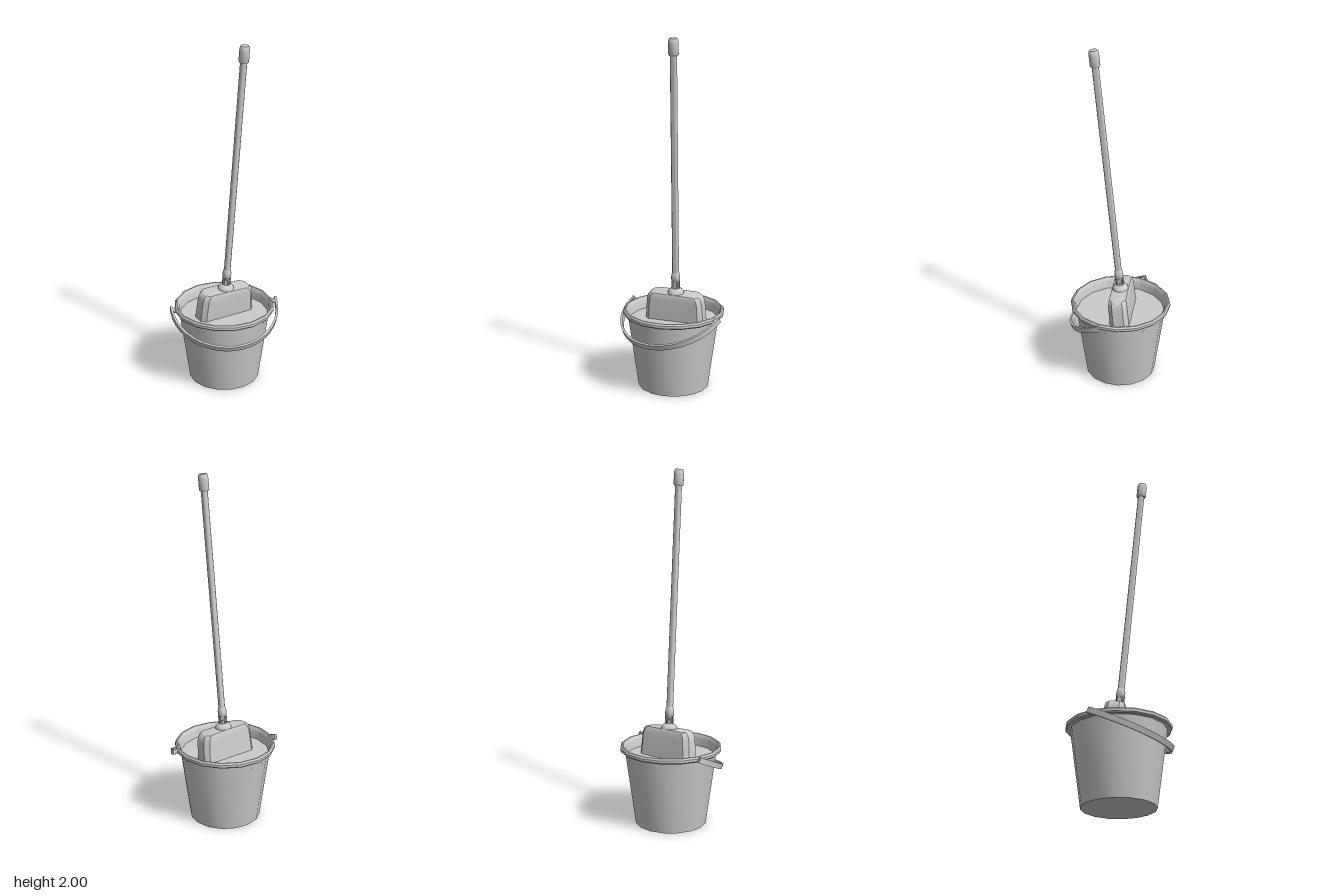
import * as THREE from 'three';
import { toCreasedNormals } from 'three/addons/utils/BufferGeometryUtils.js';

const material = new THREE.MeshStandardMaterial({ color: 0xcccccc });

function addMesh(parent, name, geometry, crease = 0.6) {
  const mesh = new THREE.Mesh(toCreasedNormals(geometry, crease), material);
  mesh.name = name;
  parent.add(mesh);
  return mesh;
}

const lathe = (points, sides) =>
  new THREE.LatheGeometry(points.map(([r, y]) => new THREE.Vector2(r, y)), sides);

// Stacked rectangles with cut corners: rings of [y, halfLength, halfWidth, cut]
function cutBlock(rings) {
  const pos = [], index = [], n = 8;
  for (const [y, a, b, c] of rings) {
    const outline = [[a, b - c], [a - c, b], [c - a, b], [-a, b - c],
      [-a, c - b], [c - a, -b], [a - c, -b], [a, c - b]];
    for (const [x, z] of outline) pos.push(x, y, z);
  }
  for (let r = 0; r < rings.length - 1; r++) {
    for (let i = 0; i < n; i++) {
      const p = r * n + i, q = r * n + (i + 1) % n;
      index.push(p, p + n, q, q, p + n, q + n);
    }
  }
  const top = (rings.length - 1) * n;
  for (let i = 1; i < n - 1; i++) {
    index.push(0, i, i + 1, top, top + i + 1, top + i);
  }
  const g = new THREE.BufferGeometry();
  g.setAttribute('position', new THREE.Float32BufferAttribute(pos, 3));
  g.setIndex(index);
  return g;
}

function makeBucket() {
  const bucket = new THREE.Group();
  bucket.name = 'bucket';
  // Tapered wall, thick rim, inside wall and floor
  addMesh(bucket, 'bucketShell', lathe([
    [0, 0], [0.203, 0], [0.262, 0.427], [0.283, 0.427], [0.289, 0.434], [0.289, 0.448],
    [0.281, 0.457], [0.273, 0.457], [0.262, 0.44], [0.256, 0.39], [0.195, 0.02], [0, 0.02],
  ], 16), 0.5);
  // Water surface
  const water = addMesh(bucket, 'water', new THREE.CircleGeometry(0.257, 16));
  water.rotation.x = -Math.PI / 2;
  water.position.y = 0.39;

  // Hanging handle: a flat half hoop with short straight ends
  const hoop = new THREE.Shape();
  const outer = 0.313, inner = 0.3, tail = -0.02;
  hoop.moveTo(outer, tail);
  hoop.lineTo(outer, 0);
  hoop.absarc(0, 0, outer, 0, Math.PI, false);
  hoop.lineTo(-outer, tail);
  hoop.lineTo(-inner, tail);
  hoop.absarc(0, 0, inner, Math.PI, 0, true);
  hoop.lineTo(inner, tail);
  const hoopGeometry = new THREE.ExtrudeGeometry(hoop, { depth: 0.032, bevelEnabled: false, curveSegments: 10 });
  hoopGeometry.translate(0, 0, -0.016);
  const handle = addMesh(bucket, 'handle', hoopGeometry, 0.4);
  handle.position.y = 0.44;
  handle.rotation.x = Math.PI / 2 + 0.425;

  // Pivot pegs
  for (const side of [1, -1]) {
    const peg = addMesh(bucket, side > 0 ? 'leftPeg' : 'rightPeg',
      new THREE.CylinderGeometry(0.013, 0.013, 0.04, 10), 0.8);
    peg.rotation.z = Math.PI / 2;
    peg.position.set(side * 0.287, 0.44, 0);
  }
  return bucket;
}

function makeMop() {
  const mop = new THREE.Group();
  mop.name = 'mop';
  // Sponge block
  addMesh(mop, 'mopHead', cutBlock([
    [-0.03, 0.174, 0.056, 0.024], [0.12, 0.164, 0.054, 0.024],
    [0.145, 0.156, 0.052, 0.023], [0.158, 0.143, 0.049, 0.022], [0.161, 0.13, 0.047, 0.02],
  ]), 0.5);
  // Dome joint
  addMesh(mop, 'joint', lathe([
    [0.046, 0.155], [0.046, 0.166], [0.041, 0.176], [0.032, 0.185], [0.022, 0.191], [0, 0.191],
  ], 16), 0.7);
  // Ribbed neck
  addMesh(mop, 'neck', new THREE.CylinderGeometry(0.02, 0.02, 0.05, 12).translate(0, 0.212, 0), 0.8);
  const ribs = new THREE.Group();
  ribs.name = 'neckRibs';
  for (let i = 0; i < 8; i++) {
    const rib = addMesh(ribs, 'neckRib', new THREE.BoxGeometry(0.005, 0.045, 0.007).translate(0.0215, 0.212, 0));
    rib.rotation.y = i * Math.PI / 4;
  }
  mop.add(ribs);
  // Socket, pole and end cap
  addMesh(mop, 'socket', lathe([
    [0, 0.232], [0.021, 0.232], [0.025, 0.24], [0.025, 0.262], [0.021, 0.282], [0.018, 0.288], [0, 0.288],
  ], 16), 0.7);
  addMesh(mop, 'pole', new THREE.CylinderGeometry(0.019, 0.019, 1.28, 16).translate(0, 0.9, 0), 0.8);
  addMesh(mop, 'endCap', lathe([
    [0, 1.52], [0.023, 1.52], [0.028, 1.528], [0.028, 1.585], [0.026, 1.604], [0.021, 1.612], [0, 1.612],
  ], 16), 0.6);

  // Lean the mop, with its head turned about the pole
  const lean = new THREE.Quaternion().setFromUnitVectors(
    new THREE.Vector3(0, 1, 0), new THREE.Vector3(0.073, 1.41, 0.115).normalize());
  const turn = new THREE.Quaternion().setFromAxisAngle(new THREE.Vector3(0, 1, 0), 0.326);
  mop.quaternion.multiplyQuaternions(lean, turn);
  mop.position.set(0.003, 0.39, -0.018);
  return mop;
}

export function createModel() {
  const model = new THREE.Group();
  model.name = 'mopAndBucket';
  model.add(makeBucket(), makeMop());
  return model;
}
